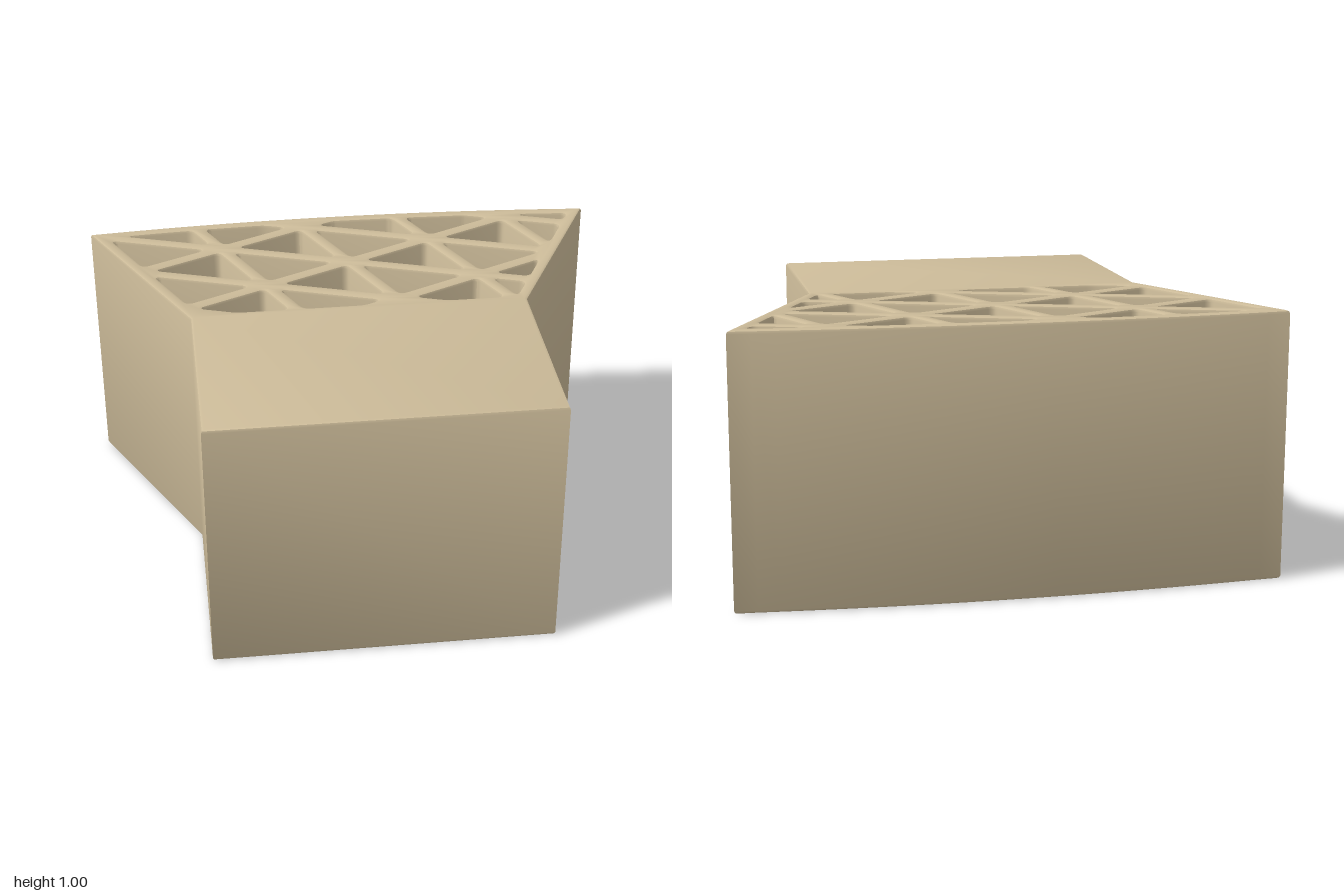
import * as THREE from 'three';
import { toCreasedNormals } from 'three/addons/utils/BufferGeometryUtils.js';

const V = (x, y) => new THREE.Vector2(x, y);
const BEVEL = 0.012, HEIGHT = 1, STRUT = 0.052, WALL = 0.045;

// Plan coordinates: x right, y towards the back (-z)
const backArc = (steps) => Array.from({ length: steps + 1 }, (_, i) => {
  const x = 1 - (2 * i) / steps;
  return V(x, 0.775 - 0.047 * x * x);
});

// Keep the part of a convex polygon lying at least d to the left of line p-q
function clip(poly, p, q, d) {
  const dir = q.clone().sub(p).normalize();
  const dist = (v) => dir.x * (v.y - p.y) - dir.y * (v.x - p.x) - d;
  const out = [];
  poly.forEach((v, i) => {
    const w = poly[(i + 1) % poly.length], dv = dist(v), dw = dist(w);
    if (dv >= 0) out.push(v);
    if ((dv >= 0) !== (dw >= 0)) out.push(v.clone().lerp(w, dv / (dv - dw)));
  });
  return out;
}

// Closed path with rounded corners
function roundedPath(poly, radius) {
  const path = new THREE.Path();
  const n = poly.length;
  const towards = (a, b) => a.clone().lerp(b, Math.min(0.45, radius / a.distanceTo(b)));
  poly.forEach((v, i) => {
    const s = towards(v, poly[(i + n - 1) % n]), e = towards(v, poly[(i + 1) % n]);
    if (i === 0) path.moveTo(s.x, s.y);
    else path.lineTo(s.x, s.y);
    path.quadraticCurveTo(v.x, v.y, e.x, e.y);
  });
  path.closePath();
  return path;
}

// Triangular cells of a skewed grid, trimmed to the flared rear section
function latticeHoles() {
  const flare = [V(-0.635, 0), V(0.635, 0), ...backArc(8)];
  let inner = flare;
  flare.forEach((p, i) => {
    inner = clip(inner, p, flare[(i + 1) % flare.length], i === 0 ? 0.03 : WALL);
  });
  const a = V(0.487, -0.163), b = V(0.153, -0.318), origin = V(0, 0.382);
  const node = (i, j) => origin.clone().addScaledVector(a, i).addScaledVector(b, j);
  const holes = [];
  for (let i = -5; i <= 5; i++) {
    for (let j = -5; j <= 5; j++) {
      const cells = [
        [node(i, j), node(i, j + 1), node(i + 1, j)],
        [node(i + 1, j), node(i, j + 1), node(i + 1, j + 1)],
      ];
      for (const cell of cells) {
        let poly = inner;
        cell.forEach((p, k) => { poly = clip(poly, p, cell[(k + 1) % 3], STRUT / 2); });
        // drop near-duplicate corners and slivers
        poly = poly.filter((v, k) => v.distanceTo(poly[(k + 1) % poly.length]) > 0.008);
        if (poly.length > 2 && THREE.ShapeUtils.area(poly) > 0.002) {
          holes.push(roundedPath(poly, 0.025));
        }
      }
    }
  }
  return holes;
}

export function createModel() {
  const group = new THREE.Group();
  group.name = 'latticeBackedBlock';

  // Solid front block flaring into a curved-back lattice section
  const outline = new THREE.Shape([
    V(-0.635, -0.772), V(0.635, -0.772), V(0.635, 0), ...backArc(24), V(-0.635, 0),
  ]);
  outline.holes = latticeHoles();

  const geometry = new THREE.ExtrudeGeometry(outline, {
    depth: HEIGHT - 2 * BEVEL, curveSegments: 4,
    bevelEnabled: true, bevelSize: BEVEL, bevelThickness: BEVEL,
    bevelOffset: -BEVEL, bevelSegments: 2,
  });
  geometry.rotateX(-Math.PI / 2);
  geometry.translate(0, BEVEL, 0);

  const block = new THREE.Mesh(
    toCreasedNormals(geometry, 0.6),
    new THREE.MeshStandardMaterial({ color: 0xccbb99 }),
  );
  block.name = 'blockWithLattice';
  group.add(block);
  return group;
}
